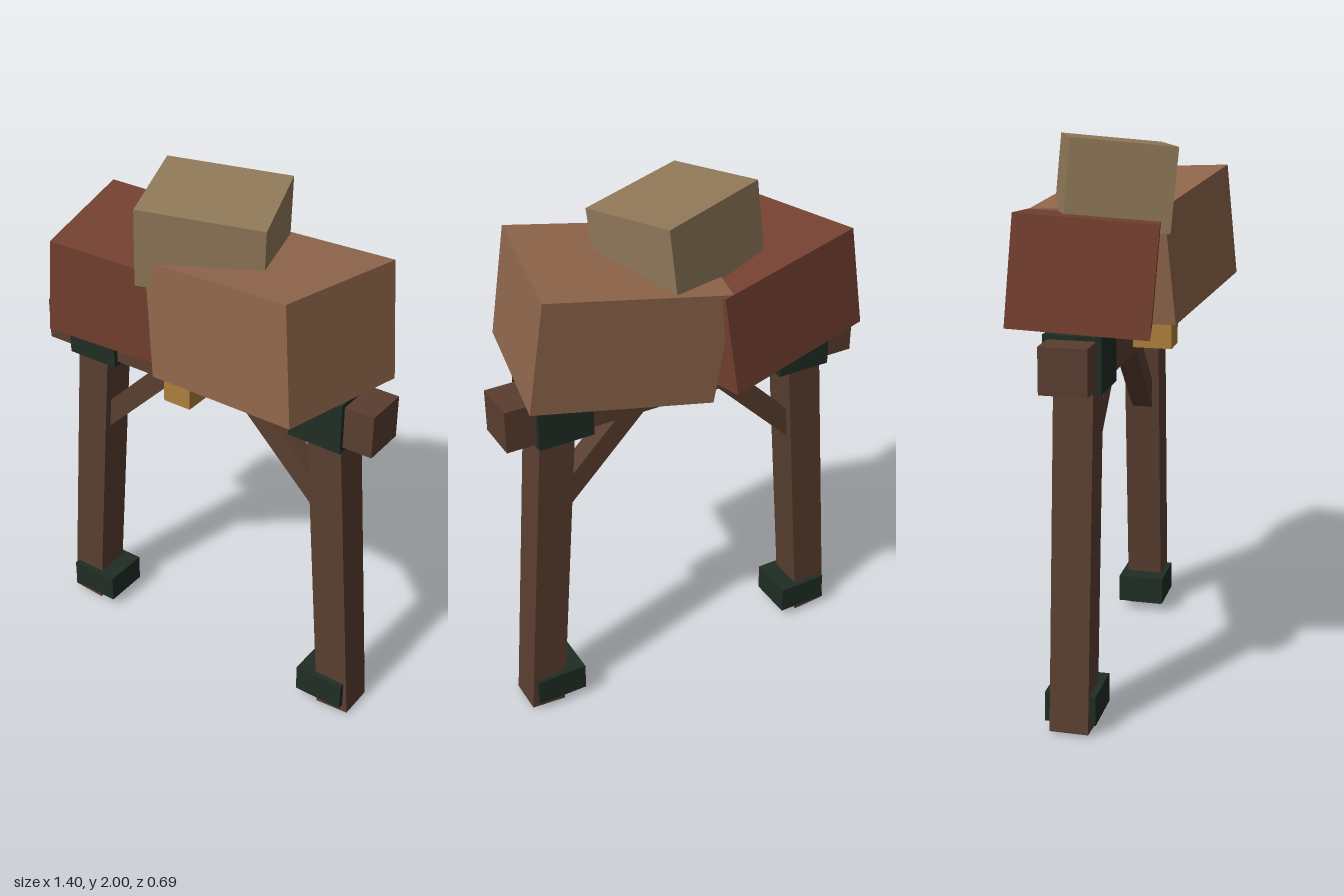
import * as THREE from 'three';

const paint = (name, hex) => {
  const m = new THREE.MeshStandardMaterial({ color: hex });
  m.name = name;
  return m;
};

export function createModel() {
  const group = new THREE.Group();
  const wood = paint('dark wood', 0x593e30);
  const iron = paint('dark green iron', 0x1f2d24);
  const red = paint('red brown', 0x754131);
  const orange = paint('orange brown', 0x8f664b);
  const tan = paint('tan', 0x917959);
  const brass = paint('brass', 0xad7f3c);

  // a box given by size, centre and rotation
  const box = (name, material, size, pos, rot = [0, 0, 0]) => {
    const mesh = new THREE.Mesh(new THREE.BoxGeometry(...size), material);
    mesh.name = name;
    mesh.position.set(...pos);
    mesh.rotation.set(...rot);
    group.add(mesh);
  };

  const z = -0.016; // plane of the frame

  // frame: crossbeam on two splayed, braced legs
  box('crossbeam', wood, [1.4, 0.16, 0.165], [0, 1.295, z]);
  for (const [side, s] of [['left', 1], ['right', -1]]) {
    const tilt = 0.078, length = 1.3;
    box(side + 'Leg', wood, [0.134, length, 0.137],
      [s * (0.6 - Math.sin(tilt) * length / 2), 0.006 + Math.cos(tilt) * length / 2, z], [0, 0, s * tilt]);
    box(side + 'Foot', iron, [0.195, 0.107, 0.18], [s * 0.548, 0.092, z]);
    box(side + 'Bracket', iron, [0.208, 0.193, 0.2], [s * 0.484, 1.293, z]);
    box(side + 'Brace', wood, [0.08, 0.5, 0.08], [s * 0.336, 1.06, z], [0, 0, s * Math.PI / 4]);
  }
  box('frontPeg', brass, [0.11, 0.11, 0.15], [-0.003, 1.294, 0.132]);

  // tumbled blocks resting on the beam
  box('rightBlock', red, [0.6, 0.374, 0.475], [-0.278, 1.548, -0.046], [0.08, 0.19, -0.126]);
  box('leftBlock', orange, [0.65, 0.424, 0.523], [0.25, 1.571, 0.01], [-0.062, -0.183, 0.121]);
  // top block, placed from the centre of its upper face
  box('topBlock', tan, [0.448, 0.296, 0.371], [-0.002, 1.821, -0.017], [0.104, 0.336, -0.083]);

  return group;
}
